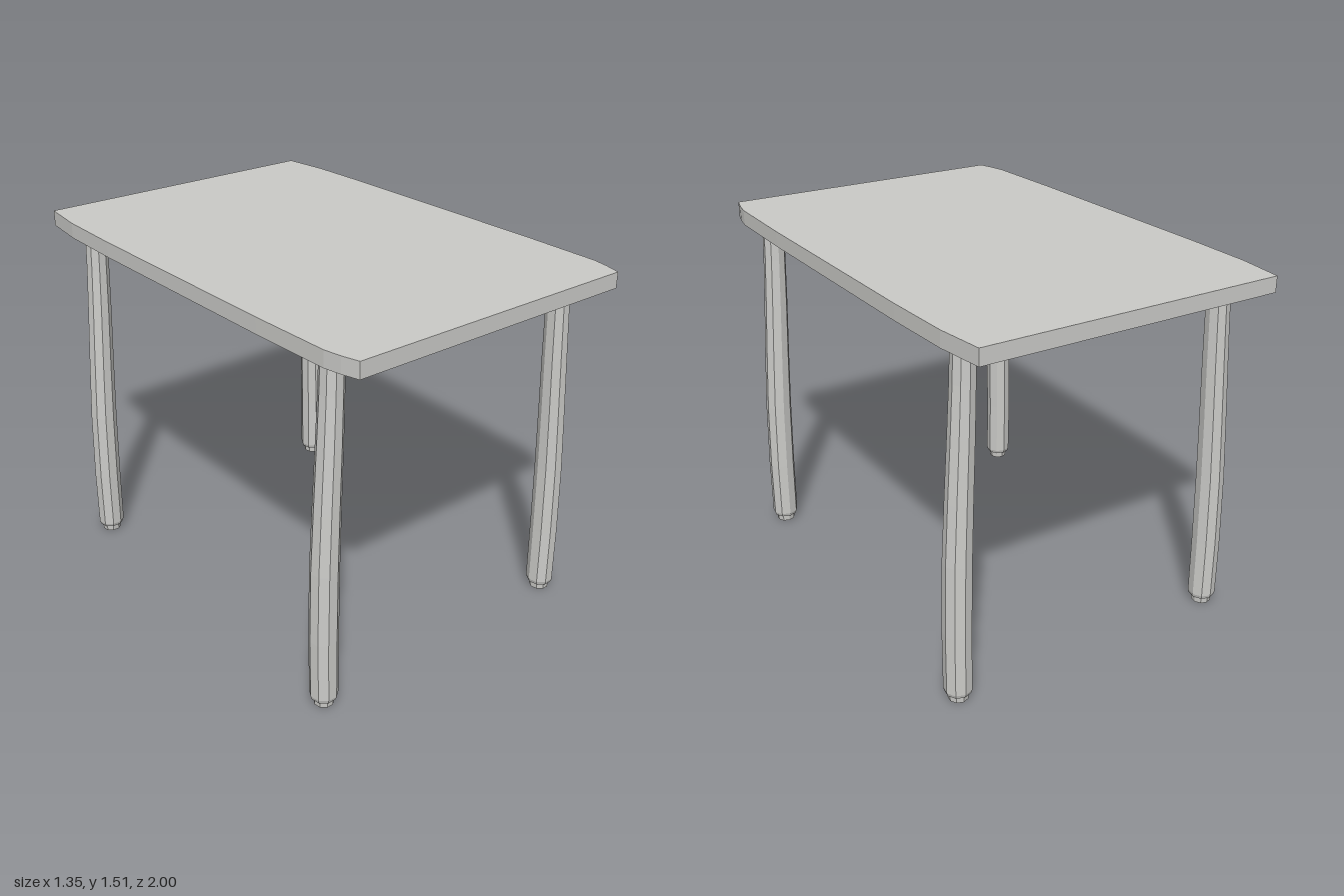
import * as THREE from 'three';

// Horizontal slab from a plan outline (shape x, y = world x, z), hanging down from topY
function slab(shape, topY, depth, material, name) {
  const geometry = new THREE.ExtrudeGeometry(shape, { depth, bevelEnabled: false, curveSegments: 6 });
  geometry.rotateX(Math.PI / 2);
  const mesh = new THREE.Mesh(geometry, material);
  mesh.position.y = topY;
  mesh.name = name;
  return mesh;
}

// Tabletop plan: gently bowed long sides and clipped corners
function tabletopShape() {
  const side = [[0.635, 1], [0.655, 0.93], [0.668, 0.86], [0.675, 0.5], [0.675, -0.5], [0.668, -0.8], [0.645, -1]];
  const mirrored = side.map(([x, z]) => [-x, z]).reverse();
  return new THREE.Shape([...side, ...mirrored].map(([x, z]) => new THREE.Vector2(x, z)));
}

// Diagonal cross brace with rounded inner corners
function braceShape() {
  const half = 0.026, fillet = 0.17;
  const a = Math.atan2(0.78, 0.57), length = Math.hypot(0.78, 0.57);
  const angles = [a, Math.PI - a, Math.PI + a, 2 * Math.PI - a];
  const point = (t, along, across) => [
    Math.cos(t) * along - Math.sin(t) * across,
    Math.sin(t) * along + Math.cos(t) * across,
  ];
  const shape = new THREE.Shape();
  shape.moveTo(...point(angles[0], fillet, -half));
  angles.forEach((t, i) => {
    const next = i < 3 ? angles[i + 1] : angles[0] + 2 * Math.PI;
    const gap = (next - t) / 2;
    shape.lineTo(...point(t, length, -half));
    shape.lineTo(...point(t, length, half));
    shape.lineTo(...point(t, fillet, half));
    const corner = point(t + gap, half / Math.sin(gap), 0);
    shape.quadraticCurveTo(...corner, ...point(next, fillet, -half));
  });
  return shape;
}

// Faceted leg with a small foot, bowed outwards along its height
function legGeometry(sx, sz) {
  const profile = [
    [0, 0], [0.04, 0], [0.042, 0.028], [0.052, 0.03], [0.057, 0.045], [0.058, 0.3],
    [0.057, 0.6], [0.054, 0.85], [0.051, 1.1], [0.048, 1.3], [0.047, 1.455], [0, 1.455],
  ].map(([r, y]) => new THREE.Vector2(r, y));
  const geometry = new THREE.LatheGeometry(profile, 9, Math.PI / 9);
  const pos = geometry.attributes.position;
  for (let i = 0; i < pos.count; i++) {
    const y = pos.getY(i);
    const bend = THREE.MathUtils.smoothstep(y, 0.3, 1.6);
    pos.setX(i, pos.getX(i) + sx * (0.611 - 0.044 * bend));
    pos.setZ(i, pos.getZ(i) + sz * (0.797 - 0.014 * y / 1.45));
  }
  geometry.computeVertexNormals();
  return geometry;
}

export function createModel() {
  const group = new THREE.Group();
  group.name = 'table';
  const grey = new THREE.MeshStandardMaterial({ color: 0xcbcbc8, flatShading: true });
  grey.name = 'pale grey';

  group.add(slab(tabletopShape(), 1.51, 0.065, grey, 'tabletop'));
  group.add(slab(braceShape(), 1.45, 0.043, grey, 'crossBrace'));

  // Four legs
  for (const [sx, sideName] of [[1, 'Left'], [-1, 'Right']]) {
    for (const [sz, endName] of [[1, 'front'], [-1, 'back']]) {
      const leg = new THREE.Mesh(legGeometry(sx, sz), grey);
      leg.name = `${endName}${sideName}Leg`;
      group.add(leg);
    }
  }
  return group;
}
